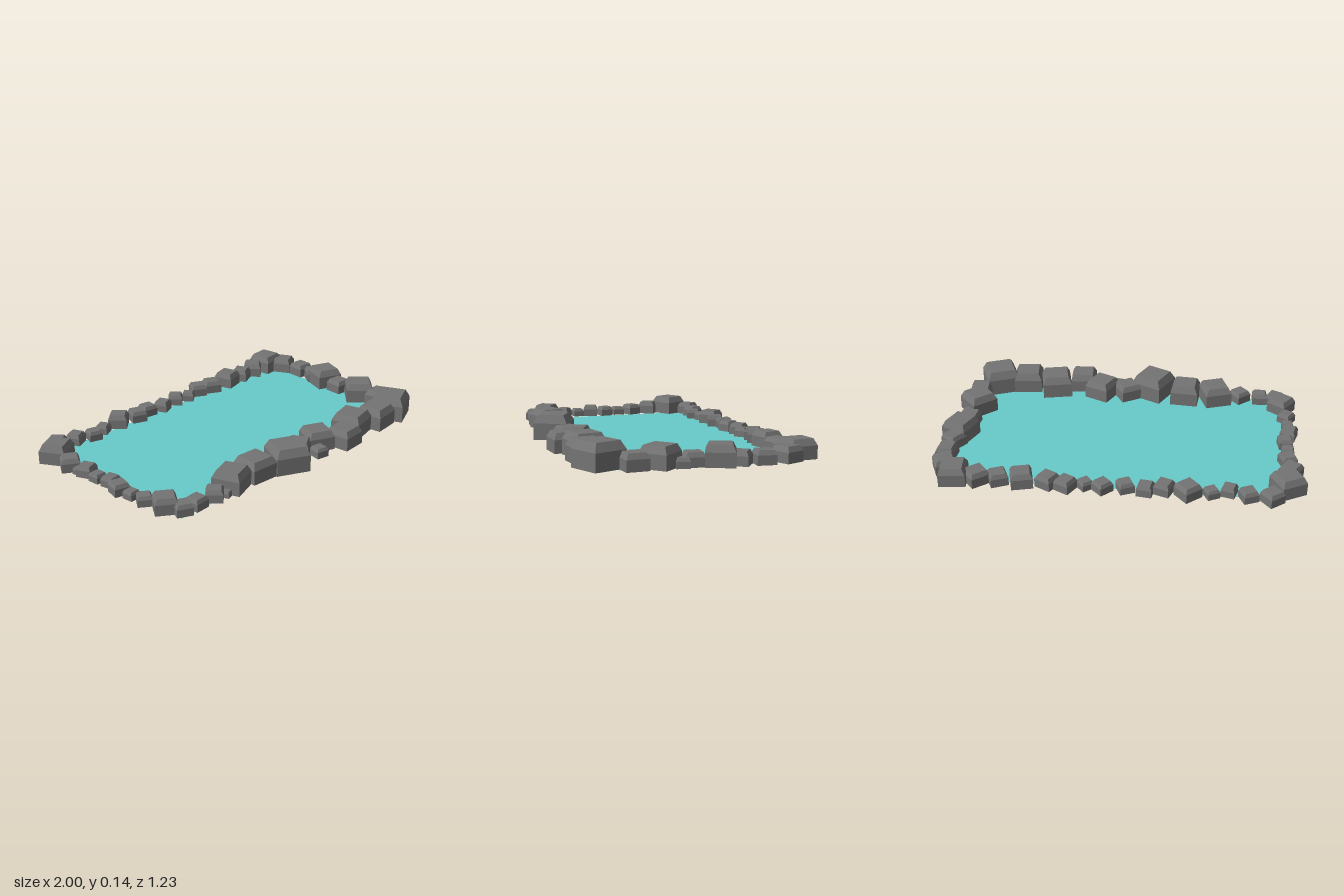
import * as THREE from 'three';

// Border stones: [x, z, side, counter-clockwise turn in degrees]
const backStones = [
  [-0.9, -0.45, 0.143, 30], [-0.82, -0.555, 0.093, 40], [-0.7, -0.545, 0.082, 25],
  [-0.6, -0.513, 0.074, -15], [-0.51, -0.54, 0.068, 28], [-0.39, -0.55, 0.105, 42],
  [-0.265, -0.53, 0.088, -20], [-0.17, -0.55, 0.082, -8], [-0.065, -0.535, 0.08, 25],
  [0.053, -0.55, 0.082, 45], [0.145, -0.535, 0.068, 40], [0.245, -0.555, 0.09, -28],
  [0.343, -0.535, 0.095, -28], [0.48, -0.535, 0.115, 15], [0.605, -0.535, 0.095, 25],
  [0.717, -0.54, 0.107, 40], [0.84, -0.54, 0.142, 6],
];
const leftStones = [
  [0.91, -0.45, 0.113, 25], [0.93, -0.32, 0.1, -5], [0.92, -0.2, 0.1, -35],
  [0.905, -0.105, 0.15, -22], [0.882, 0.025, 0.1, -5], [0.91, 0.09, 0.07, -12],
  [0.87, 0.19, 0.155, 43], [0.887, 0.325, 0.12, 5],
];
const frontStones = [
  [0.797, 0.47, 0.188, 23], [0.63, 0.49, 0.16, 6], [0.455, 0.455, 0.168, 13],
  [0.3, 0.525, 0.143, 4], [0.178, 0.435, 0.147, -25], [0.095, 0.52, 0.073, -12],
  [0.027, 0.435, 0.122, 32], [-0.123, 0.483, 0.186, -26], [-0.316, 0.435, 0.157, -4],
  [-0.492, 0.437, 0.153, 20], [-0.575, 0.482, 0.045, 20], [-0.636, 0.46, 0.09, 42],
  [-0.753, 0.455, 0.083, 3], [-0.84, 0.448, 0.085, -25],
];
const rightStones = [
  [-0.877, 0.365, 0.116, -35], [-0.905, 0.246, 0.075, -35], [-0.91, 0.155, 0.062, 4],
  [-0.915, 0.07, 0.085, -15], [-0.893, -0.02, 0.075, 10], [-0.907, -0.107, 0.066, 3],
  [-0.904, -0.198, 0.083, 22], [-0.92, -0.24, 0.05, 15], [-0.918, -0.315, 0.1, -32],
];

// Unit block with straight lower walls and sloping shoulders
function stoneGeometry() {
  const r = Math.SQRT1_2;
  const profile = [[0, 0], [r, 0], [r, 0.49], [r * 0.77, 0.73], [0, 0.73]]
    .map(([x, y]) => new THREE.Vector2(x, y));
  const geometry = new THREE.LatheGeometry(profile, 4, Math.PI / 4).toNonIndexed();
  geometry.computeVertexNormals();
  return geometry;
}

export function createModel() {
  const model = new THREE.Group();
  model.name = 'stonePond';

  const stoneGrey = new THREE.MeshStandardMaterial({ color: 0x747474, flatShading: true });
  stoneGrey.name = 'stone grey';
  const waterTeal = new THREE.MeshStandardMaterial({ color: 0x66cbc9, side: THREE.DoubleSide });
  waterTeal.name = 'water teal';

  // Water sheet, with one clipped corner
  const outline = [[-0.88, -0.53], [0.89, -0.53], [0.89, 0.37], [0.75, 0.48], [-0.88, 0.48]];
  const shape = new THREE.Shape(outline.map(([x, z]) => new THREE.Vector2(x, -z)));
  const water = new THREE.Mesh(new THREE.ShapeGeometry(shape).rotateX(-Math.PI / 2), waterTeal);
  water.name = 'water';
  model.add(water);

  // Ring of stones, resting just above the sheet
  const geometry = stoneGeometry();
  const rows = { backStones, leftStones, frontStones, rightStones };
  for (const [name, stones] of Object.entries(rows)) {
    const row = new THREE.Group();
    row.name = name;
    for (const [x, z, side, turn] of stones) {
      const stone = new THREE.Mesh(geometry, stoneGrey);
      stone.name = 'stone';
      stone.position.set(x, 0.003, z);
      stone.rotation.y = THREE.MathUtils.degToRad(turn);
      stone.scale.setScalar(side);
      row.add(stone);
    }
    model.add(row);
  }
  return model;
}
